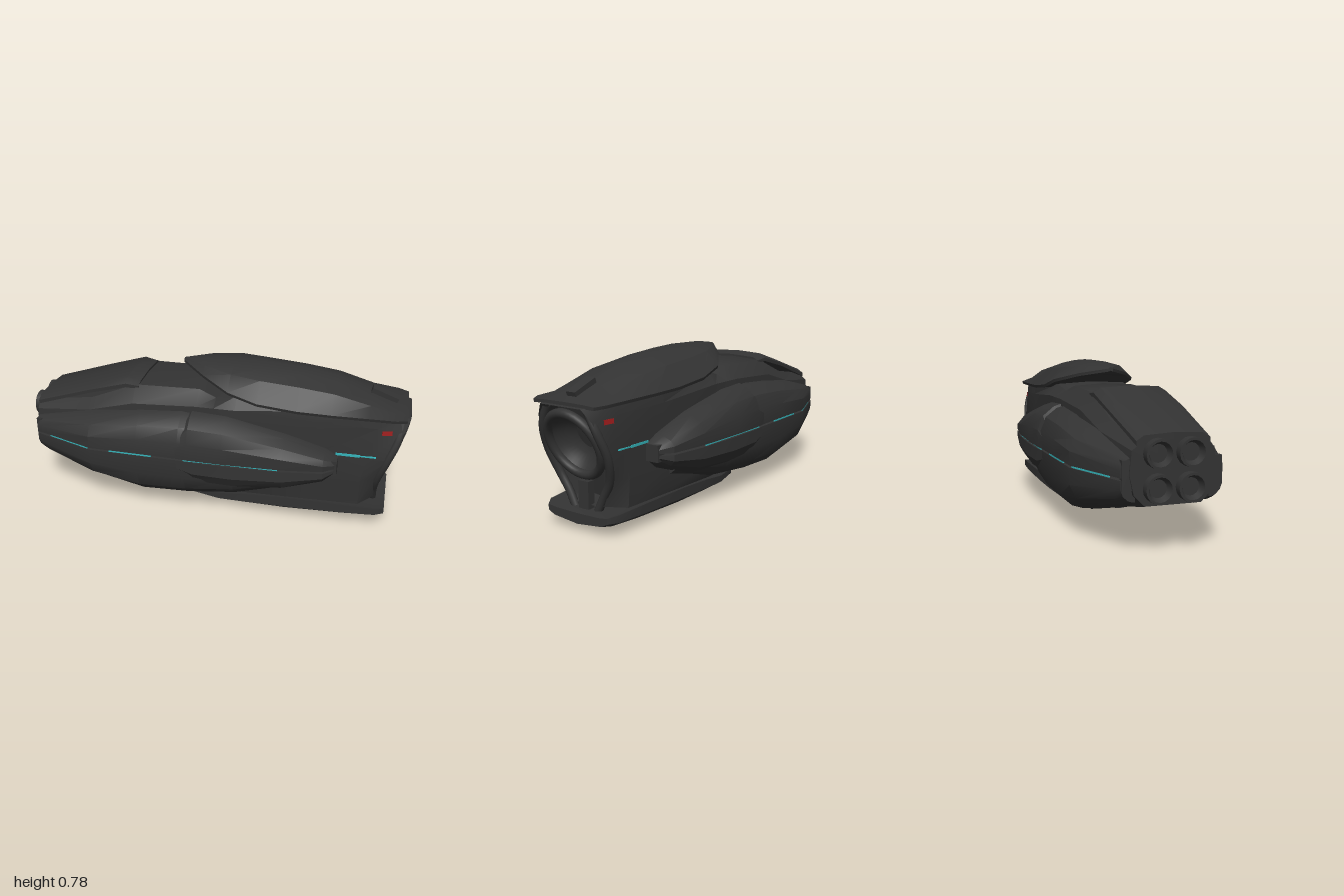
import * as THREE from 'three';
import { toCreasedNormals } from 'three/addons/utils/BufferGeometryUtils.js';

const material = (name, color) => {
  const m = new THREE.MeshStandardMaterial({ color, side: THREE.DoubleSide });
  m.name = name;
  return m;
};

export function createModel() {
  const model = new THREE.Group();
  const armour = material('charcoal armour', 0x333333);
  const glow = material('cyan light', 0x35b5bb);
  const red = material('red marker', 0x9c1c1c);

  const add = (name, geometry, mat = armour, parent = model) => {
    const mesh = new THREE.Mesh(geometry, mat);
    mesh.name = name;
    parent.add(mesh);
    return mesh;
  };
  const box = (name, size, pos, mat) => {
    const mesh = add(name, new THREE.BoxGeometry(...size), mat);
    mesh.position.set(...pos);
    return mesh;
  };

  // Skin closed rings of [x, y, z] points from back to front, with end caps
  const loft = (name, rings, mat) => {
    const n = rings[0].length;
    const mid = rings[Math.floor(rings.length / 2)];
    let area = 0;
    mid.forEach((p, j) => {
      const q = mid[(j + 1) % n];
      area += p[2] * q[1] - q[2] * p[1];
    });
    if (area > 0) rings = rings.map(r => [...r].reverse());
    const pos = rings.flat(2), index = [];
    for (let i = 0; i < rings.length - 1; i++) {
      for (let j = 0; j < n; j++) {
        const a = i * n + j, b = i * n + (j + 1) % n;
        index.push(a, b, a + n, b, b + n, a + n);
      }
    }
    [0, rings.length - 1].forEach(i => {
      const c = pos.length / 3;
      for (let k = 0; k < 3; k++) pos.push(rings[i].reduce((s, p) => s + p[k], 0) / n);
      for (let j = 0; j < n; j++) {
        const a = i * n + j, b = i * n + (j + 1) % n;
        index.push(...(i ? [a, b, c] : [b, a, c]));
      }
    });
    const g = new THREE.BufferGeometry();
    g.setAttribute('position', new THREE.Float32BufferAttribute(pos, 3));
    g.setIndex(index);
    return add(name, toCreasedNormals(g, 0.5), mat);
  };
  // Half outline of [y, z] points, mirrored across the centre plane
  const symmetric = (x, half, slant = 0) => {
    const ring = [...half, ...half.slice(1, -1).reverse().map(([y, z]) => [y, -z])];
    return ring.map(([y, z]) => [x + slant * Math.max(0, y - 0.25), y, z]);
  };

  // Core hull, ending in a raked mouth with a recessed bulkhead
  const mouth = [[0.59, 0], [0.59, 0.12], [0.53, 0.16], [0.38, 0.19], [0.25, 0.165], [0.12, 0.11], [0.11, 0]];
  loft('coreHull', [
    symmetric(-0.96, [[0.5, 0], [0.5, 0.14], [0.46, 0.19], [0.36, 0.2], [0.27, 0.18], [0.22, 0.13], [0.22, 0]]),
    symmetric(-0.65, [[0.555, 0], [0.55, 0.17], [0.5, 0.22], [0.36, 0.24], [0.25, 0.24], [0.15, 0.17], [0.15, 0]]),
    symmetric(-0.4, [[0.66, 0], [0.65, 0.17], [0.57, 0.235], [0.36, 0.25], [0.2, 0.25], [0.08, 0.18], [0.075, 0]]),
    symmetric(-0.06, [[0.665, 0], [0.655, 0.16], [0.59, 0.237], [0.36, 0.25], [0.2, 0.25], [0.09, 0.18], [0.085, 0]]),
    symmetric(0.03, [[0.62, 0], [0.62, 0.17], [0.59, 0.237], [0.36, 0.25], [0.2, 0.25], [0.1, 0.19], [0.1, 0]]),
    symmetric(0.14, [[0.66, 0], [0.65, 0.19], [0.59, 0.237], [0.36, 0.24], [0.2, 0.24], [0.1, 0.2], [0.1, 0]]),
    symmetric(0.55, [[0.63, 0], [0.62, 0.21], [0.56, 0.22], [0.38, 0.205], [0.25, 0.21], [0.11, 0.2], [0.1, 0]]),
    symmetric(0.78, [[0.61, 0], [0.61, 0.18], [0.55, 0.19], [0.38, 0.2], [0.25, 0.2], [0.11, 0.19], [0.1, 0]], 0.22),
    symmetric(0.855, mouth, 0.42),
    symmetric(0.75, mouth.map(([y, z]) => [y + (0.38 - y) * 0.05, z * 0.95]), 0.42),
  ]);

  // Domed upper cowl: x, crown height, edge height, half width
  loft('upperCowl', [
    [-0.18, 0.757, 0.748, 0.012], [-0.05, 0.775, 0.72, 0.13], [0.1, 0.78, 0.68, 0.225],
    [0.25, 0.777, 0.64, 0.24], [0.45, 0.763, 0.62, 0.237], [0.62, 0.735, 0.615, 0.23],
    [0.8, 0.668, 0.61, 0.215], [0.93, 0.622, 0.607, 0.205], [0.98, 0.608, 0.603, 0.18],
  ].map(([x, t, e, w]) => {
    const h = t - e;
    return symmetric(x, [[t, 0], [t - h * 0.1, w * 0.3], [t - h * 0.33, w * 0.68], [e, w], [e - 0.015, w * 0.98], [e - 0.01, 0]]);
  }));
  box('cowlSensor', [0.14, 0.035, 0.054], [0.86, 0.652, 0]).rotation.z = -0.36;

  // Rear dorsal plate, lifted off the hull
  loft('rearDorsalPlate', [
    [-0.96, 0.53, 0.05, 0.17], [-0.65, 0.625, 0.042, 0.185], [-0.45, 0.685, 0.05, 0.185], [-0.38, 0.67, 0.04, 0.18],
  ].map(([x, t, h, w]) => symmetric(x, [[t, 0], [t - 0.008, w * 0.8], [t - h * 0.6, w], [t - h, w], [t - h, 0]])));

  // Belly keel: x, bottom, rim height, half width
  loft('bellyKeel', [
    [-0.33, 0.053, 0.062, 0.03], [-0.12, 0.022, 0.075, 0.17], [0.05, 0.012, 0.085, 0.215], [0.2, 0.006, 0.105, 0.23],
    [0.4, 0.003, 0.115, 0.232], [0.7, 0.014, 0.113, 0.225], [0.87, 0.026, 0.105, 0.21], [0.915, 0.035, 0.095, 0.18],
  ].map(([x, b, e, w]) => {
    const h = e - b;
    return symmetric(x, [[e - 0.15 * h, 0], [e - 0.1 * h, w * 0.85], [e, w], [b + 0.55 * h, w], [b + 0.25 * h, w * 0.8], [b, 0]]);
  }));

  // Side armour shells: x, far edge height, outer half width
  const shell = (name, s, seam, inner, rows) => loft(name, rows.map(([x, far, zo]) => {
    const zi = Math.min(inner, zo - 0.06);
    return [[0, 0], [0, 1], [0.4, 1.01], [0.72, 0.84], [0.93, 0.5], [1, 0.2], [1, 0]]
      .map(([f, g]) => [x, seam + (far - seam) * f, s * (zi + (zo - zi) * g)]);
  }));
  const seamRows = [[-0.94, 0.235], [-0.61, 0.35], [-0.2, 0.355], [0.1, 0.357], [0.4, 0.342], [0.6, 0.31]];
  const seamZ = x => {
    const i = Math.max(1, seamRows.findIndex(r => r[0] >= x));
    const [a, b] = [seamRows[i - 1], seamRows[i]];
    return a[1] + (b[1] - a[1]) * (x - a[0]) / (b[0] - a[0]);
  };

  for (const s of [1, -1]) {
    const side = s > 0 ? 'left' : 'right';
    shell(side + 'UpperRearShell', s, 0.345, 0.18, [
      [-0.95, 0.43, 0.235], [-0.61, 0.51, 0.352], [-0.35, 0.548, 0.354], [-0.13, 0.565, 0.356], [0.12, 0.54, 0.33],
    ]);
    shell(side + 'UpperFrontShell', s, 0.345, 0.19, [
      [-0.18, 0.46, 0.352], [-0.08, 0.57, 0.362], [0.1, 0.56, 0.362], [0.4, 0.49, 0.347], [0.6, 0.42, 0.315], [0.66, 0.385, 0.265],
    ]);
    shell(side + 'LowerRearShell', s, 0.335, 0.17, [
      [-0.95, 0.24, 0.235], [-0.9, 0.215, 0.255], [-0.61, 0.135, 0.352], [-0.35, 0.075, 0.355], [-0.1, 0.085, 0.354], [0.15, 0.11, 0.33], [0.5, 0.2, 0.27],
    ]);
    shell(side + 'LowerFrontShell', s, 0.335, 0.19, [
      [-0.15, 0.23, 0.352], [-0.05, 0.17, 0.362], [0.15, 0.165, 0.362], [0.4, 0.19, 0.347], [0.6, 0.26, 0.315], [0.66, 0.31, 0.265],
    ]);
    box(side + 'RearSeamCap', [0.03, 0.13, 0.05], [-0.94, 0.355, s * 0.205]);
    box(side + 'FrontSeamCap', [0.05, 0.08, 0.08], [0.64, 0.345, s * 0.23]);

    // Light strips sunk in the seam between shells
    [[-0.87, -0.62], [-0.5, -0.27], [-0.1, 0.38]].forEach(([a, b]) => {
      loft(side + 'SeamLight', [a, b].map(x => {
        const z = s * seamZ(x);
        return [[x, 0.336, z], [x, 0.344, z], [x, 0.344, z - s * 0.008], [x, 0.336, z - s * 0.008]];
      }), glow);
    });
    box(side + 'FlankLight', [0.12, 0.012, 0.008], [0.71, 0.395, s * 0.202], glow);
    box(side + 'FlankLightTip', [0.08, 0.006, 0.008], [0.81, 0.395, s * 0.2], glow);
    box(side + 'RedMarker', [0.05, 0.022, 0.008], [0.89, 0.527, s * 0.181], red).rotation.set(-s * 0.12, s * 0.21, 0);

    // Curved pipe framing the mouth
    const path = new THREE.CatmullRomCurve3([[0.96, 0.58, 0.12], [0.945, 0.48, 0.162], [0.9, 0.36, 0.18],
      [0.86, 0.24, 0.15], [0.85, 0.16, 0.105], [0.85, 0.09, 0.07]].map(([x, y, z]) => new THREE.Vector3(x, y, s * z)));
    add(side + 'MouthPipe', new THREE.TubeGeometry(path, 24, 0.02, 10));

    // Paired rear thrusters
    for (const y of [0.445, 0.295]) {
      const profile = [[0, 0.02], [0.04, 0.02], [0.054, 0.05], [0.065, 0.05], [0.065, -0.02]].map(p => new THREE.Vector2(...p));
      const nozzle = add(side + 'Thruster', toCreasedNormals(new THREE.LatheGeometry(profile, 16).rotateZ(Math.PI / 2), 0.5));
      nozzle.position.set(-0.95, y, s * 0.075);
    }
  }

  // Tilted intake ring with a concave dish
  const intake = new THREE.Group();
  intake.name = 'frontIntake';
  intake.position.set(0.918, 0.405, 0);
  intake.rotation.z = -0.39;
  intake.scale.z = 0.9;
  model.add(intake);
  add('intakeRing', new THREE.TorusGeometry(0.165, 0.022, 12, 40).rotateY(Math.PI / 2), armour, intake);
  const dish = [[0, -0.1], [0.05, -0.093], [0.1, -0.07], [0.135, -0.035], [0.155, 0]].map(p => new THREE.Vector2(...p));
  add('intakeDish', new THREE.LatheGeometry(dish, 40).rotateZ(-Math.PI / 2), armour, intake);
  box('intakeStrut', [0.04, 0.14, 0.06], [0.85, 0.155, 0]);

  return model;
}
